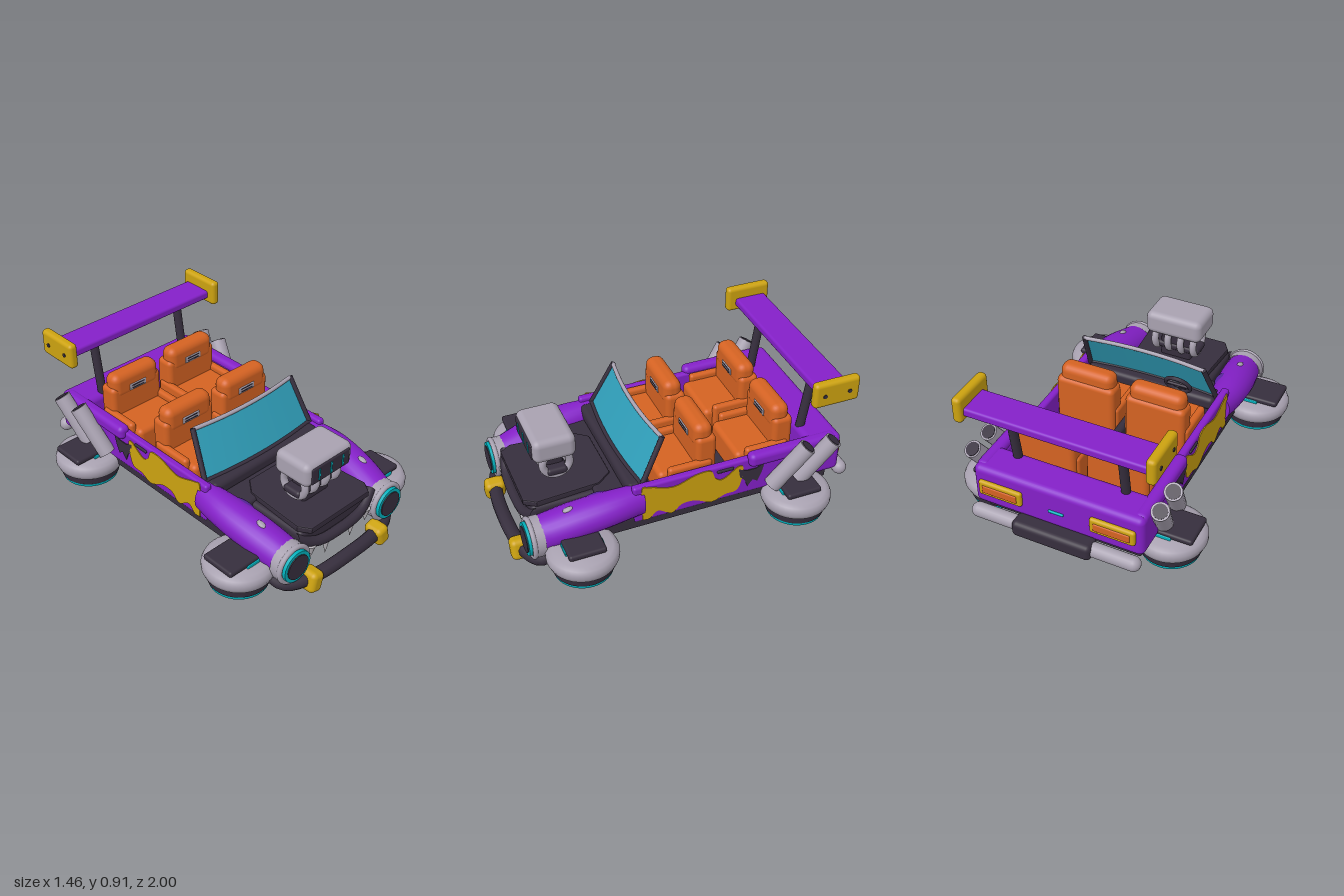
import * as THREE from 'three';
import { RoundedBoxGeometry } from 'three/addons/geometries/RoundedBoxGeometry.js';
import { toCreasedNormals } from 'three/addons/utils/BufferGeometryUtils.js';

const mat = (name, color, side = THREE.FrontSide) => {
  const m = new THREE.MeshStandardMaterial({ color, side });
  m.name = name;
  return m;
};

export function createModel() {
  const car = new THREE.Group();
  car.name = 'hoverCar';
  const purple = mat('purple paint', 0x8420c8), violet = mat('violet paint', 0x5a26a0);
  const yellow = mat('yellow paint', 0xcca210), orange = mat('orange leather', 0xd46222);
  const dark = mat('dark trim', 0x362e3d), grey = mat('light metal', 0xa8a1b0);
  const cyan = mat('cyan glow', 0x00b0bc), glass = mat('glass', 0x309fba, THREE.DoubleSide);
  const white = mat('tooth white', 0xb8b4ba);

  const V = (a) => new THREE.Vector3(...a);
  const add = (name, geo, material, pos = [0, 0, 0], rot = [0, 0, 0], parent = car) => {
    const m = new THREE.Mesh(geo, material);
    m.name = name;
    m.position.set(...pos);
    m.rotation.set(...rot);
    parent.add(m);
    return m;
  };
  // Rounded box given by its min and max on each axis
  const box = (name, x, y, z, material, r = 0.02, parent = car) => {
    const s = [x, y, z].map(([a, b]) => Math.abs(b - a));
    const radius = Math.min(r, Math.min(...s) * 0.49);
    return add(name, new RoundedBoxGeometry(...s, 3, radius), material,
      [x, y, z].map(([a, b]) => (a + b) / 2), [0, 0, 0], parent);
  };
  // Straight round bar between two points
  const bar = (name, a, b, r, material, open = false) => {
    const d = V(b).sub(V(a));
    const m = add(name, new THREE.CylinderGeometry(r, r, d.length(), 20, 1, open), material);
    m.position.copy(V(a)).addScaledVector(d, 0.5);
    m.quaternion.setFromUnitVectors(new THREE.Vector3(0, 1, 0), d.normalize());
    return m;
  };
  const tube = (name, pts, r, material) =>
    add(name, new THREE.TubeGeometry(new THREE.CatmullRomCurve3(pts.map(V)), 32, r, 10), material);
  const lathe = (pts) => toCreasedNormals(
    new THREE.LatheGeometry(pts.map(([x, y]) => new THREE.Vector2(x, y)), 40), 0.7);
  const sides = (fn) => [1, -1].forEach(fn);

  // Chassis, side panels and tail
  box('floor', [-0.46, 0.46], [0.155, 0.235], [-0.85, 0.72], dark, 0.01);
  box('centreTunnel', [-0.025, 0.025], [0.23, 0.36], [-0.23, 0.25], dark);
  box('tailBody', [-0.5, 0.5], [0.22, 0.47], [-0.91, -0.7], purple, 0.035);
  const blotch = (pts, depth) => new THREE.ExtrudeGeometry(
    new THREE.Shape(pts.map(([z, y]) => new THREE.Vector2(-z, y))),
    { depth, bevelEnabled: false }).rotateY(Math.PI / 2);
  const smooth = (pts) => new THREE.SplineCurve(
    [...pts, pts[0]].map(([a, b]) => new THREE.Vector2(a, b))).getPoints(90).slice(0, -1).map((p) => [p.x, p.y]);
  const patch = smooth([[0.29, 0.21], [0.295, 0.42], [0.25, 0.43], [0.11, 0.39], [-0.02, 0.43], [-0.11, 0.43],
    [-0.14, 0.37], [-0.19, 0.35], [-0.28, 0.41], [-0.31, 0.38], [-0.28, 0.25], [-0.2, 0.235],
    [-0.12, 0.205], [-0.02, 0.25], [0.06, 0.25], [0.12, 0.205], [0.2, 0.25], [0.25, 0.21]]);
  const splat = [[-0.28, 0.39], [-0.33, 0.365], [-0.39, 0.365], [-0.44, 0.39], [-0.425, 0.33], [-0.4, 0.27],
    [-0.37, 0.29], [-0.34, 0.25], [-0.32, 0.3], [-0.29, 0.33]].reverse();
  sides((s) => {
    box('sidePanel', [s * 0.42, s * 0.466], [0.2, 0.44], [-0.85, 0.34], purple, 0.015);
    box('rearRail', [s * 0.425, s * 0.5], [0.39, 0.475], [-0.88, -0.34], purple, 0.03);
    const x = s > 0 ? 0.465 : -0.471;
    add('yellowPatch', blotch(patch, 0.006), yellow, [x, 0, 0]);
    add('darkSplat', blotch(splat, 0.006), dark, [x, 0, 0]);
    box('doorHandle', [s * 0.46, s * 0.476], [0.398, 0.416], [-0.25, -0.15], dark, 0.006);
    // Tail lights
    box('tailLightFrame', [s * 0.2, s * 0.46], [0.3, 0.395], [-0.932, -0.9], yellow, 0.015);
    box('tailLightLens', [s * 0.225, s * 0.435], [0.322, 0.372], [-0.938, -0.92], orange, 0.008);
  });
  box('tailLatch', [-0.045, 0.045], [0.325, 0.34], [-0.92, -0.905], cyan, 0.005);
  bar('rearBumper', [-0.46, 0.195, -0.94], [0.46, 0.195, -0.94], 0.042, grey);
  sides((s) => add('bumperEnd', new THREE.SphereGeometry(0.042, 20, 12), grey, [s * 0.46, 0.195, -0.94]));
  box('bumperPad', [-0.235, 0.235], [0.145, 0.245], [-1, -0.89], dark, 0.03);

  // Hover pads
  const padShell = lathe([[0, 0.11], [0.165, 0.11], [0.19, 0.125], [0.2, 0.15], [0.2, 0.175], [0.19, 0.198], [0.165, 0.212], [0, 0.212]]);
  const padGlow = lathe([[0, 0.015], [0.07, 0.02], [0.12, 0.032], [0.145, 0.045], [0.163, 0.052], [0.165, 0.068], [0.155, 0.078], [0, 0.078]]);
  sides((s) => [0.66, -0.62].forEach((z) => {
    const pad = new THREE.Group();
    pad.name = 'hoverPad';
    pad.position.set(s * 0.53, 0, z);
    car.add(pad);
    add('padShell', padShell, grey, [0, 0, 0], [0, 0, 0], pad);
    add('padSkirt', new THREE.CylinderGeometry(0.175, 0.17, 0.04, 40), dark, [0, 0.093, 0], [0, 0, 0], pad);
    add('padGlow', padGlow, cyan, [0, 0, 0], [0, 0, 0], pad);
    box('padGlowStrip', [-0.04, 0.05], [0.2, 0.232], [-0.11, 0.11], cyan, 0.005, pad);
    box('padArm', [-0.16, 0.11], [0.215, 0.25], [-0.105, 0.105], dark, 0.015, pad);
  }));

  // Front fenders: a round section swept along a rising, swelling path
  sides((s) => {
    const g = new THREE.CylinderGeometry(1, 1, 1, 24, 10).rotateX(Math.PI / 2);
    const path = new THREE.CatmullRomCurve3([[0.42, 0.325, 0.28], [0.42, 0.315, 0.45],
      [0.4, 0.28, 0.65], [0.37, 0.22, 0.86]].map(V));
    const p = g.attributes.position;
    for (let i = 0; i < p.count; i++) {
      const t = p.getZ(i) + 0.5, c = path.getPoint(t);
      const rx = 0.075 + 0.035 * Math.sin(t * 2.3), ry = 0.09 + 0.01 * t;
      p.setXYZ(i, s * c.x + p.getX(i) * rx, c.y + p.getY(i) * ry, c.z);
    }
    add('frontFender', toCreasedNormals(g, 0.8), purple);
    add('fenderPatch', new THREE.SphereGeometry(1, 16, 10), violet, [s * 0.36, 0.353, 0.52], [0.12, 0, s * 0.3]).scale.set(0.05, 0.03, 0.085);
    add('fenderChip', new THREE.SphereGeometry(1, 12, 8), grey, [s * 0.4, 0.365, 0.69], [0.25, 0, 0]).scale.set(0.018, 0.012, 0.03);
    // Headlights
    const disc = (name, r, z0, z1, m) => bar(name, [s * 0.37, 0.21, z0], [s * 0.37, 0.21, z1], r, m);
    disc('headlightShell', 0.115, 0.84, 0.905, grey);
    add('headlightRim', new THREE.TorusGeometry(0.105, 0.015, 10, 36), grey, [s * 0.37, 0.21, 0.9]);
    disc('headlightGlow', 0.095, 0.89, 0.93, cyan);
    disc('headlightLens', 0.075, 0.925, 0.936, dark);
  });

  // Hood, dashboard and grille mouth
  const hood = new THREE.Shape([[-0.22, 0.88], [-0.26, 0.82], [-0.235, 0.46], [-0.17, 0.38],
    [0.17, 0.38], [0.235, 0.46], [0.26, 0.82], [0.22, 0.88]].map(([x, y]) => new THREE.Vector2(x, y)));
  add('hoodPlate', new THREE.ExtrudeGeometry(hood, { depth: 0.025, bevelSize: 0.008, bevelThickness: 0.006, bevelSegments: 2 })
    .rotateX(Math.PI / 2), dark, [0, 0.348, 0]);
  box('engineBay', [-0.28, 0.28], [0.2, 0.325], [0.3, 0.86], dark, 0.03);
  box('cowl', [-0.38, 0.38], [0.25, 0.345], [0.24, 0.5], dark, 0.02);
  box('dashboard', [-0.41, 0.41], [0.33, 0.415], [0.22, 0.35], dark, 0.03);
  tube('upperLip', [[-0.3, 0.3, 0.84], [-0.18, 0.235, 0.875], [0, 0.22, 0.885], [0.18, 0.235, 0.875], [0.3, 0.3, 0.84]], 0.03, dark);
  tube('lowerJaw', [[-0.44, 0.13, 0.76], [-0.41, 0.08, 0.87], [-0.27, 0.07, 0.93], [0, 0.08, 0.955],
    [0.27, 0.07, 0.93], [0.41, 0.08, 0.87], [0.44, 0.13, 0.76]], 0.04, dark);
  [-0.22, -0.1, 0.1, 0.22].forEach((x) => {
    const h = Math.abs(x) < 0.15 ? 0.13 : 0.09;
    add('tooth', new THREE.ConeGeometry(0.028, h, 14), white, [x, 0.235 - h / 2, 0.88], [Math.PI, 0, 0]);
  });
  sides((s) => {
    const cuff = box('jawCuff', [s * 0.225, s * 0.315], [0.005, 0.13], [0.875, 0.995], yellow, 0.03);
    cuff.rotation.z = s * 0.25;
  });

  // Exposed engine with intake scoop
  box('scoop', [-0.18, 0.18], [0.52, 0.665], [0.55, 0.795], grey, 0.04);
  box('scoopGrille', [-0.145, 0.145], [0.54, 0.64], [0.77, 0.8], dark, 0.008);
  [-0.09, 0, 0.09].forEach((x) => box('scoopSlot', [x - 0.006, x + 0.006], [0.553, 0.625], [0.795, 0.804], cyan, 0.003));
  [-0.125, -0.042, 0.042, 0.125].forEach((x) =>
    add('enginePipe', new THREE.TorusGeometry(0.077, 0.022, 12, 28), grey, [x, 0.47, 0.66], [0, Math.PI / 2, 0]));
  box('engineBlock', [-0.1, 0.1], [0.34, 0.53], [0.61, 0.71], dark, 0.02);
  box('engineHead', [-0.155, 0.155], [0.4, 0.445], [0.6, 0.72], dark, 0.02);

  // Windshield
  const shieldPoint = (u, v) => [u * (0.41 - 0.035 * v), 0.41 + 0.26 * v, 0.3 - 0.13 * v - 0.03 * u * u];
  const pane = new THREE.PlaneGeometry(2, 1, 14, 1), pp = pane.attributes.position;
  for (let i = 0; i < pp.count; i++) pp.setXYZ(i, ...shieldPoint(pp.getX(i), pp.getY(i) + 0.5));
  pane.computeVertexNormals();
  add('windshield', pane, glass);
  const edge = (v) => [-1, -0.5, 0, 0.5, 1].map((u) => shieldPoint(u, v));
  tube('windshieldTop', edge(1), 0.012, grey);
  tube('windshieldBase', edge(0), 0.014, dark);
  sides((s) => bar('windshieldPost', shieldPoint(s, -0.05), shieldPoint(s, 1.02), 0.015, dark));

  // Steering wheel
  add('steeringWheel', new THREE.TorusGeometry(0.075, 0.012, 10, 28), dark, [-0.21, 0.5, 0.17], [-0.5, 0, 0]);
  bar('steeringColumn', [-0.21, 0.5, 0.17], [-0.21, 0.39, 0.27], 0.014, dark);
  bar('steeringSpoke', [-0.285, 0.5, 0.17], [-0.135, 0.5, 0.17], 0.009, dark);

  // Four seats
  sides((s) => [0, -0.465].forEach((z) => {
    const seat = new THREE.Group();
    seat.name = 'seat';
    seat.position.set(s * 0.215, 0, z);
    car.add(seat);
    box('seatCushion', [-0.17, 0.17], [0.24, 0.42], [-0.12, 0.16], orange, 0.03, seat);
    sides((k) => box('seatBolster', [k * 0.15, k * 0.195], [0.25, 0.455], [-0.15, 0.11], orange, 0.02, seat));
    box('seatBack', [-0.18, 0.18], [0.26, 0.6], [-0.18, -0.06], orange, 0.03, seat);
    box('headrest', [-0.165, 0.165], [0.52, 0.675], [-0.165, -0.055], orange, 0.045, seat);
    box('seatSlot', [-0.06, 0.06], [0.555, 0.595], [-0.062, -0.05], grey, 0.005, seat);
    [0.565, 0.582].forEach((y) => box('seatSlotLine', [-0.045, 0.045], [y, y + 0.006], [-0.055, -0.047], dark, 0.002, seat));
  }));

  // Rear wing
  box('wing', [-0.53, 0.53], [0.787, 0.838], [-0.905, -0.712], purple, 0.015);
  sides((s) => {
    box('wingEndPlate', [s * 0.515, s * 0.57], [0.755, 0.908], [-0.935, -0.66], yellow, 0.022);
    [-0.72, -0.87].forEach((z) => bar('wingBolt', [s * 0.55, 0.83, z], [s * 0.575, 0.83, z], 0.012, dark));
    bar('wingStrut', [s * 0.32, 0.43, -0.73], [s * 0.32, 0.8, -0.785], 0.026, dark);
    // Slanted exhaust stacks
    [[-0.48, -0.66], [-0.65, -0.82]].forEach(([z0, z1]) => {
      const a = [s * 0.5, 0.24, z0], b = [s * 0.55, 0.495, z1];
      bar('exhaustPipe', a, b, 0.05, grey);
      const d = V(b).sub(V(a)).normalize();
      bar('exhaustMouth', b, V(b).addScaledVector(d, 0.003).toArray(), 0.04, dark);
    });
  });
  return car;
}
